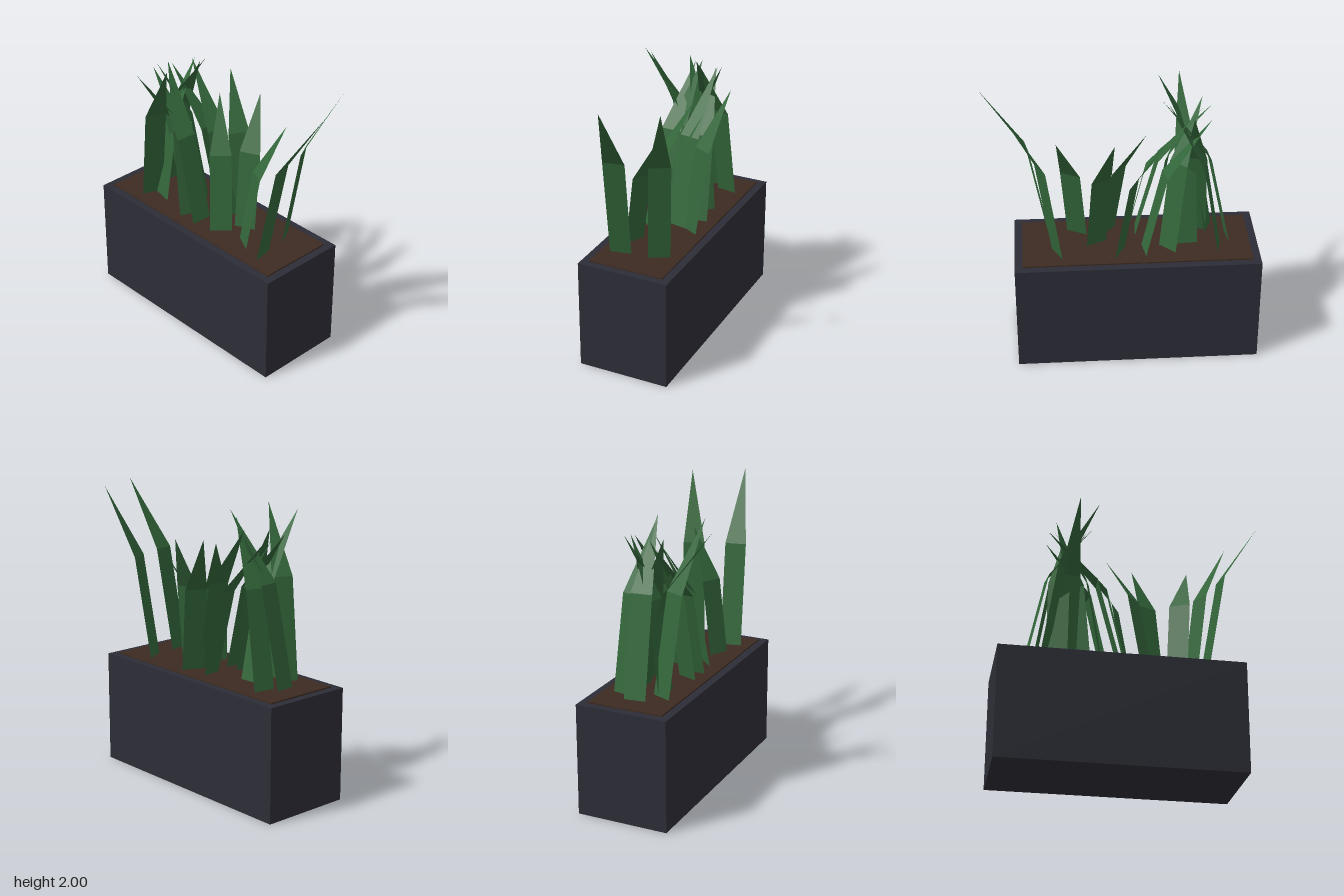
import * as THREE from 'three';

const planterMat = new THREE.MeshStandardMaterial({ color: 0x2d2d37 });
planterMat.name = 'charcoal';
const soilMat = new THREE.MeshStandardMaterial({ color: 0x3d2b22 });
soilMat.name = 'soilBrown';
const leafMat = new THREE.MeshStandardMaterial({ color: 0x33663a, flatShading: true, side: THREE.DoubleSide });
leafMat.name = 'leafGreen';

const BASE_Y = 0.79;

// Flat bent blade: a leaning strip up to the bend, then a pointed tip.
// Its width runs at right angles to the direction it leans in.
function blade(bx, bz, tx, ty, tz, width = 0.15) {
  const dx = tx - bx, dz = tz - bz, len = Math.hypot(dx, dz);
  const px = (-dz / len) * width / 2, pz = (dx / len) * width / 2;
  const mx = bx + dx * 0.31, mz = bz + dz * 0.31, my = BASE_Y + (ty - BASE_Y) * 0.605;
  const g = new THREE.BufferGeometry();
  g.setAttribute('position', new THREE.Float32BufferAttribute([
    bx - px, BASE_Y, bz - pz,
    bx + px, BASE_Y, bz + pz,
    mx - px, my, mz - pz,
    mx + px, my, mz + pz,
    tx, ty, tz,
  ], 3));
  g.setIndex([0, 1, 3, 0, 3, 2, 2, 3, 4]);
  g.computeVertexNormals();
  return new THREE.Mesh(g, leafMat);
}

function box(name, mat, x0, x1, y0, y1, z0, z1) {
  const m = new THREE.Mesh(new THREE.BoxGeometry(x1 - x0, y1 - y0, z1 - z0), mat);
  m.position.set((x0 + x1) / 2, (y0 + y1) / 2, (z0 + z1) / 2);
  m.name = name;
  return m;
}

// Each row: base x, base z, tip x, tip y, tip z
const clumps = {
  rightClump: [
    [-0.74, -0.045, -0.26, 1.94, -0.105],
    [-0.67, -0.17, -0.31, 1.9, -0.1],
    [-0.62, 0.09, -0.265, 1.95, 0.24],
    [-0.45, -0.1, -0.42, 1.91, 0.365],
    [-0.53, 0.08, -0.47, 1.84, -0.2],
    [-0.31, -0.16, -0.55, 1.86, 0.08],
    [-0.22, 0.09, -0.55, 1.84, -0.02],
    [-0.145, -0.17, -0.6, 1.78, -0.1],
    [-0.1, 0.09, -0.61, 1.8, 0.06],
  ],
  middleClump: [
    [-0.01, -0.08, -0.47, 1.84, -0.17],
    [0.02, -0.19, -0.28, 1.77, -0.355],
    [0.09, 0.085, -0.16, 1.7, -0.14],
    [0.175, -0.06, 0.06, 1.72, -0.31],
  ],
  leftClump: [
    [0.305, 0.085, 0.44, 1.67, -0.175],
    [0.45, -0.175, 0.775, 1.99, -0.345],
    [0.5, 0.09, 0.935, 2.0, 0.0],
  ],
};

export function createModel() {
  const model = new THREE.Group();
  model.name = 'planterWithLeaves';

  // Planter and the soil slab just proud of its top
  model.add(box('planter', planterMat, -0.945, 0.745, 0, 0.79, -0.37, 0.285));
  model.add(box('soil', soilMat, -0.89, 0.69, 0.77, 0.8, -0.315, 0.23));

  // Leaf clumps
  for (const [name, rows] of Object.entries(clumps)) {
    const clump = new THREE.Group();
    clump.name = name;
    rows.forEach((row, i) => {
      const leaf = blade(...row);
      leaf.name = `leaf${i + 1}`;
      clump.add(leaf);
    });
    model.add(clump);
  }
  return model;
}
